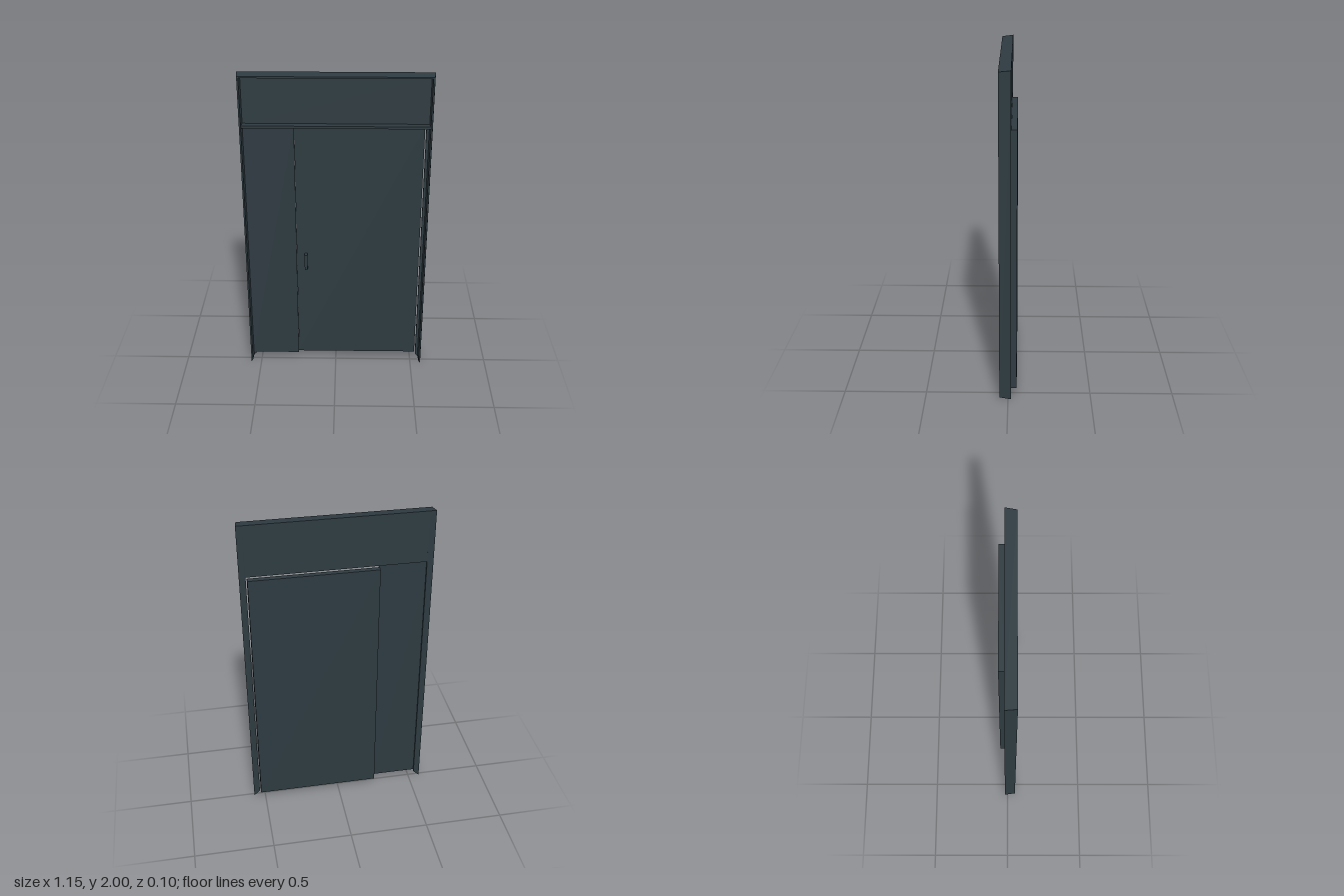
import * as THREE from 'three';

const slate = new THREE.MeshStandardMaterial({ color: 0x2e3b41 });
slate.name = 'dark slate';

// Box given by its limits on each axis
function slab(name, x0, x1, y0, y1, z0, z1) {
  const geometry = new THREE.BoxGeometry(x1 - x0, y1 - y0, z1 - z0);
  geometry.translate((x0 + x1) / 2, (y0 + y1) / 2, (z0 + z1) / 2);
  const mesh = new THREE.Mesh(geometry, slate);
  mesh.name = name;
  return mesh;
}

// L-shaped frame section: [inset from the outer edge, z]
const section = [
  [0, -0.018], [0.008, 0.052], [0.018, 0.052],
  [0.022, -0.006], [0.039, -0.006], [0.039, -0.018],
];

// One frame member, mitred at 45 degrees at both ends
function frameMember(name, a, b) {
  const at = (corner, [inset, z]) => [
    corner[0] - Math.sign(corner[0]) * inset,
    corner[1] + (corner[1] > 1 ? -inset : inset),
    z,
  ];
  const positions = [];
  const n = section.length;
  for (let i = 0; i < n; i++) {
    const p = section[i], q = section[(i + 1) % n];
    const a0 = at(a, p), a1 = at(a, q), b0 = at(b, p), b1 = at(b, q);
    positions.push(...a0, ...b0, ...b1, ...a0, ...b1, ...a1);
  }
  // Mitred end caps
  const contour = section.map(([u, v]) => new THREE.Vector2(u, v));
  for (const [i, j, k] of THREE.ShapeUtils.triangulateShape(contour, [])) {
    positions.push(...at(a, section[i]), ...at(a, section[j]), ...at(a, section[k]));
    positions.push(...at(b, section[i]), ...at(b, section[k]), ...at(b, section[j]));
  }
  const geometry = new THREE.BufferGeometry();
  geometry.setAttribute('position', new THREE.Float32BufferAttribute(positions, 3));
  geometry.computeVertexNormals();
  // Turn the faces outward if the solid came out inverted
  let volume = 0;
  const v = [new THREE.Vector3(), new THREE.Vector3(), new THREE.Vector3()];
  for (let i = 0; i < positions.length; i += 9) {
    v.forEach((w, k) => w.fromArray(positions, i + 3 * k));
    volume += v[0].dot(v[1].clone().cross(v[2]));
  }
  if (volume < 0) {
    for (let i = 0; i < positions.length; i += 9) {
      for (let k = 0; k < 3; k++) {
        [positions[i + 3 + k], positions[i + 6 + k]] = [positions[i + 6 + k], positions[i + 3 + k]];
      }
    }
    geometry.setAttribute('position', new THREE.Float32BufferAttribute(positions, 3));
    geometry.computeVertexNormals();
  }
  const mesh = new THREE.Mesh(geometry, slate);
  mesh.name = name;
  return mesh;
}

export function createModel() {
  const model = new THREE.Group();
  model.name = 'door';

  // Surrounding frame, open at the bottom
  const frame = new THREE.Group();
  frame.name = 'frame';
  const X = 0.574;
  frame.add(
    frameMember('rightJamb', [-X, 0], [-X, 2]),
    frameMember('head', [-X, 2], [X, 2]),
    frameMember('leftJamb', [X, 2], [X, 0]),
  );
  model.add(frame);

  // Panel over the door, and the rail below it
  model.add(slab('transomPanel', -0.553, 0.553, 1.685, 1.979, -0.0178, 0));
  model.add(slab('transomRail', -0.556, 0.556, 1.675, 1.69, -0.016, 0.044));

  // Fixed panel beside the door
  model.add(slab('sidePanel', -0.553, -0.248, 0.05, 1.676, -0.007, 0.001));

  // Door leaf, set behind the frame
  model.add(slab('doorLeaf', -0.248, 0.529, 0.05, 1.668, -0.052, -0.018));

  // Pull handle: upright bar on two posts
  const handle = new THREE.Group();
  handle.name = 'handle';
  handle.add(slab('handleBar', -0.198, -0.18, 0.7, 0.806, 0.004, 0.014));
  for (const y of [0.7, 0.794]) {
    handle.add(slab('handlePost', -0.198, -0.18, y, y + 0.012, -0.019, 0.005));
  }
  model.add(handle);

  return model;
}
